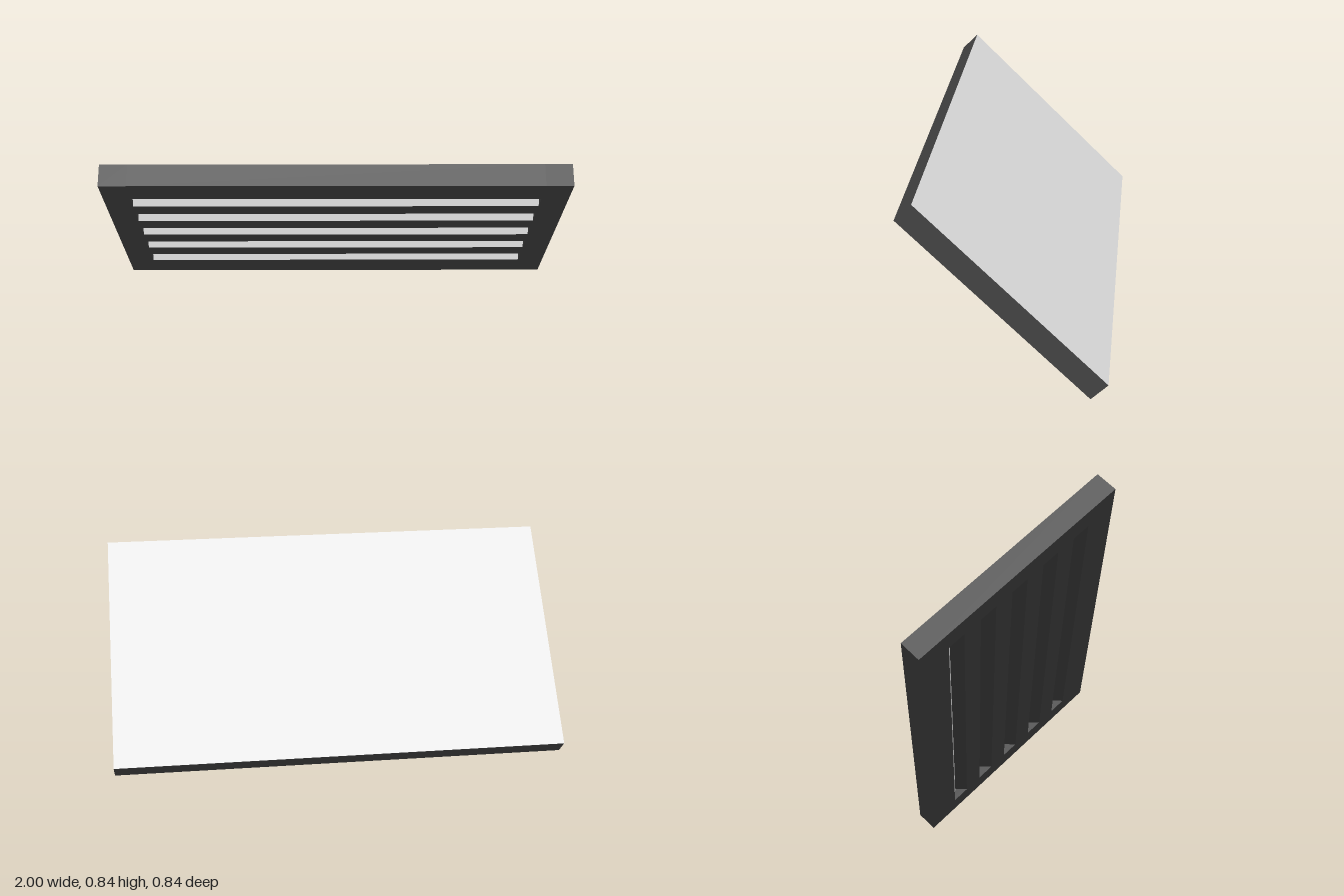
import * as THREE from 'three';

export function createModel() {
  const model = new THREE.Group();
  model.name = 'slantedLouvrePanel';

  const mat = (name, color) => {
    const m = new THREE.MeshStandardMaterial({ color });
    m.name = name;
    return m;
  };
  const charcoal = mat('charcoal', 0x424242);
  const paleGrey = mat('pale grey', 0xe2e2e2);

  const add = (name, geometry, material, x, y, z) => {
    const mesh = new THREE.Mesh(geometry, material);
    mesh.name = name;
    mesh.position.set(x, y, z);
    model.add(mesh);
    return mesh;
  };

  // Side profile as [z, y]: a slab leaning forward at 45 degrees
  const frontBottom = [-0.35, 0], frontTop = [0.42, 0.77];
  const backTop = [0.35, 0.84], backBottom = [-0.42, 0.07];
  const slotHeight = 0.06, slotWidth = 1.765;
  const slotBases = [0, 1, 2, 3, 4].map(i => 0.109 + i * 0.1245);

  // Extrudes a [z, y] profile along x, centred on its own middle
  const extrudeAcross = (points, width) => {
    const shape = new THREE.Shape(points.map(p => new THREE.Vector2(...p)));
    const geometry = new THREE.ExtrudeGeometry(shape, { depth: width, bevelEnabled: false });
    return geometry.translate(0, 0, -width / 2).rotateY(-Math.PI / 2);
  };

  // Middle of the housing, with five notches cut into the sloping front
  const notches = slotBases.flatMap(y => {
    const z = y + frontBottom[0], top = y + slotHeight;
    return [[z, y], [z, top], [z + slotHeight, top]];
  });
  add('housing', extrudeAcross([frontBottom, ...notches, frontTop, backTop, backBottom], slotWidth),
    charcoal, 0, 0, 0);

  // Solid ends that close the notches
  const endWidth = 1 - slotWidth / 2;
  const endGeometry = extrudeAcross([frontBottom, frontTop, backTop, backBottom], endWidth);
  for (const side of [-1, 1]) {
    add(side > 0 ? 'leftEnd' : 'rightEnd', endGeometry, charcoal, side * (1 - endWidth / 2), 0, 0);
  }

  // Upright pale slats inside the notches
  const slatGeometry = new THREE.PlaneGeometry(slotWidth, slotHeight);
  slotBases.forEach((y, i) => {
    add('slat' + (i + 1), slatGeometry, paleGrey, 0, y + slotHeight / 2, y + frontBottom[0] + 0.001);
  });

  // Pale sheet covering the whole sloping back
  const back = add('backSheet', new THREE.PlaneGeometry(2, 0.77 * Math.SQRT2), paleGrey,
    0, 0.4557, -0.0357);
  back.rotation.set(-Math.PI / 4, Math.PI, 0, 'YXZ');

  return model;
}
